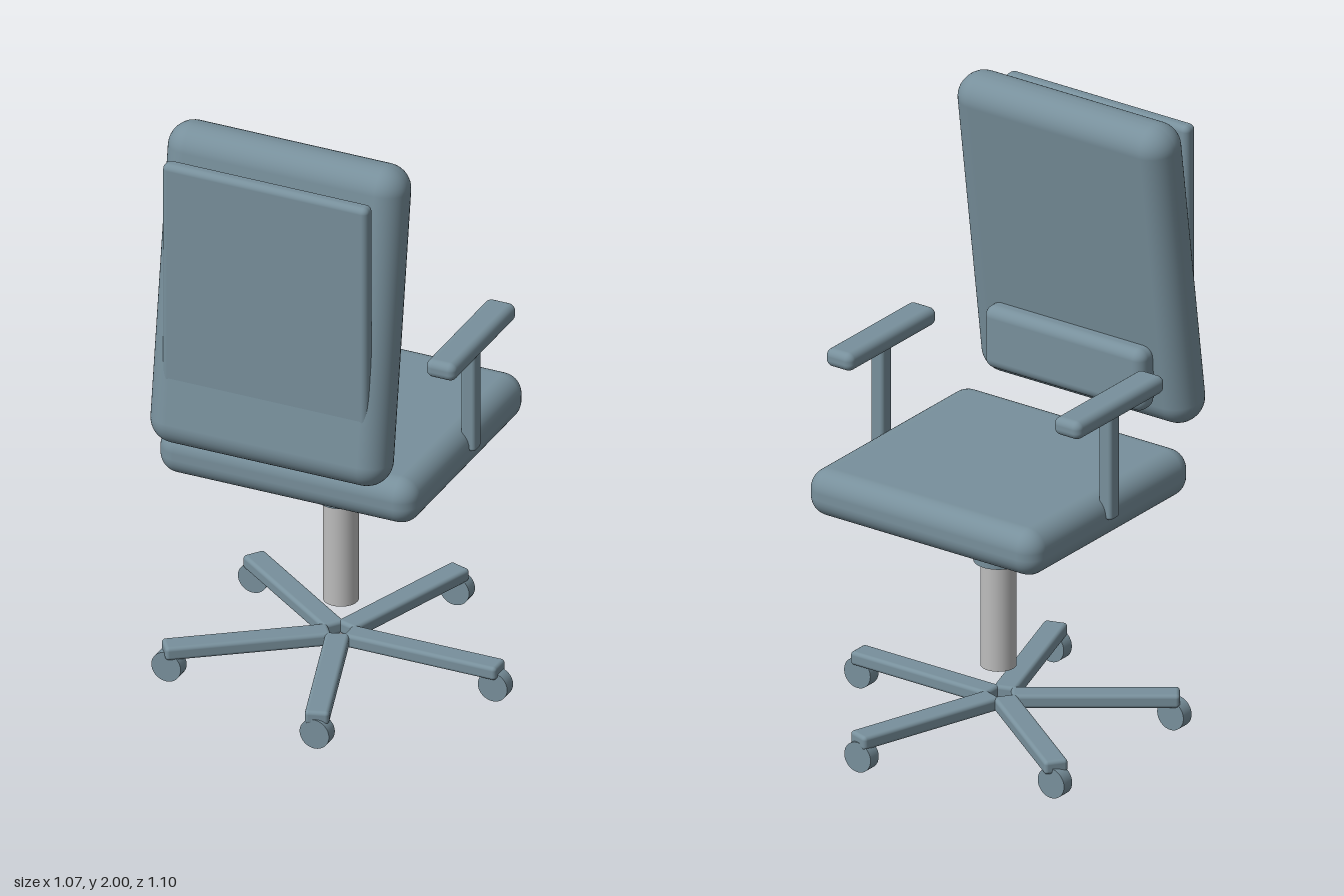
import * as THREE from 'three';
import { RoundedBoxGeometry } from 'three/addons/geometries/RoundedBoxGeometry.js';

export function createModel() {
  const chair = new THREE.Group();
  chair.name = 'officeChair';

  const slate = new THREE.MeshStandardMaterial({ color: 0x78909c });
  slate.name = 'slateBlue';
  const silver = new THREE.MeshStandardMaterial({ color: 0xbdbdbd });
  silver.name = 'silver';

  const axisX = -0.05; // the swivel column stands slightly off centre

  function add(name, geometry, x, y, z, material = slate, parent = chair) {
    const mesh = new THREE.Mesh(geometry, material);
    mesh.name = name;
    mesh.position.set(x, y, z);
    parent.add(mesh);
    return mesh;
  }
  const pad = (w, h, d, r) => new RoundedBoxGeometry(w, h, d, 5, r);

  // Seat cushion
  add('seat', pad(0.88, 0.155, 0.845, 0.066), axisX, 0.838, -0.033);

  // Reclined backrest, upright rear panel and lumbar cushion
  const back = add('backrest', pad(0.81, 1.06, 0.165, 0.08), axisX, 1.475, 0.402);
  back.rotation.x = -0.14;
  add('rearPanel', pad(0.7, 0.84, 0.05, 0.02), axisX, 1.52, 0.5);
  add('lumbarCushion', pad(0.61, 0.21, 0.085, 0.035), axisX, 1.125, 0.34);

  // Armrests, mirrored about the column
  for (const side of [1, -1]) {
    const arm = new THREE.Group();
    arm.name = side > 0 ? 'leftArmrest' : 'rightArmrest';
    arm.position.set(axisX + side * 0.434, 0, -0.051);
    chair.add(arm);
    add('armPad', pad(0.102, 0.06, 0.46, 0.024), 0, 1.22, 0, slate, arm);
    add('armPost', pad(0.05, 0.37, 0.05, 0.012), 0, 1.025, 0, slate, arm);
  }

  // Gas lift column and collar
  add('column', new THREE.CylinderGeometry(0.056, 0.056, 0.36, 32), axisX, 0.4, -0.033, silver);
  add('collar', new THREE.CylinderGeometry(0.078, 0.078, 0.175, 32), axisX, 0.6625, -0.033);

  // Five-spoke base with casters that all roll along x
  const base = new THREE.Group();
  base.name = 'base';
  base.position.set(axisX, 0, -0.018);
  chair.add(base);
  const inner = 0.03, outer = 0.55, casterRadius = 0.533;
  const spokeGeometry = pad(outer - inner, 0.045, 0.076, 0.012);
  const wheelGeometry = new THREE.CylinderGeometry(0.05, 0.05, 0.043, 32).rotateX(Math.PI / 2);
  for (let i = 0; i < 5; i++) {
    const a = (i * Math.PI * 2) / 5;
    const c = Math.cos(a), s = Math.sin(a), mid = (inner + outer) / 2;
    const spoke = add('spoke', spokeGeometry, c * mid, 0.1025, s * mid, slate, base);
    spoke.rotation.y = -a;
    add('casterWheel', wheelGeometry, c * casterRadius, 0.05, s * casterRadius, slate, base);
  }

  return chair;
}
